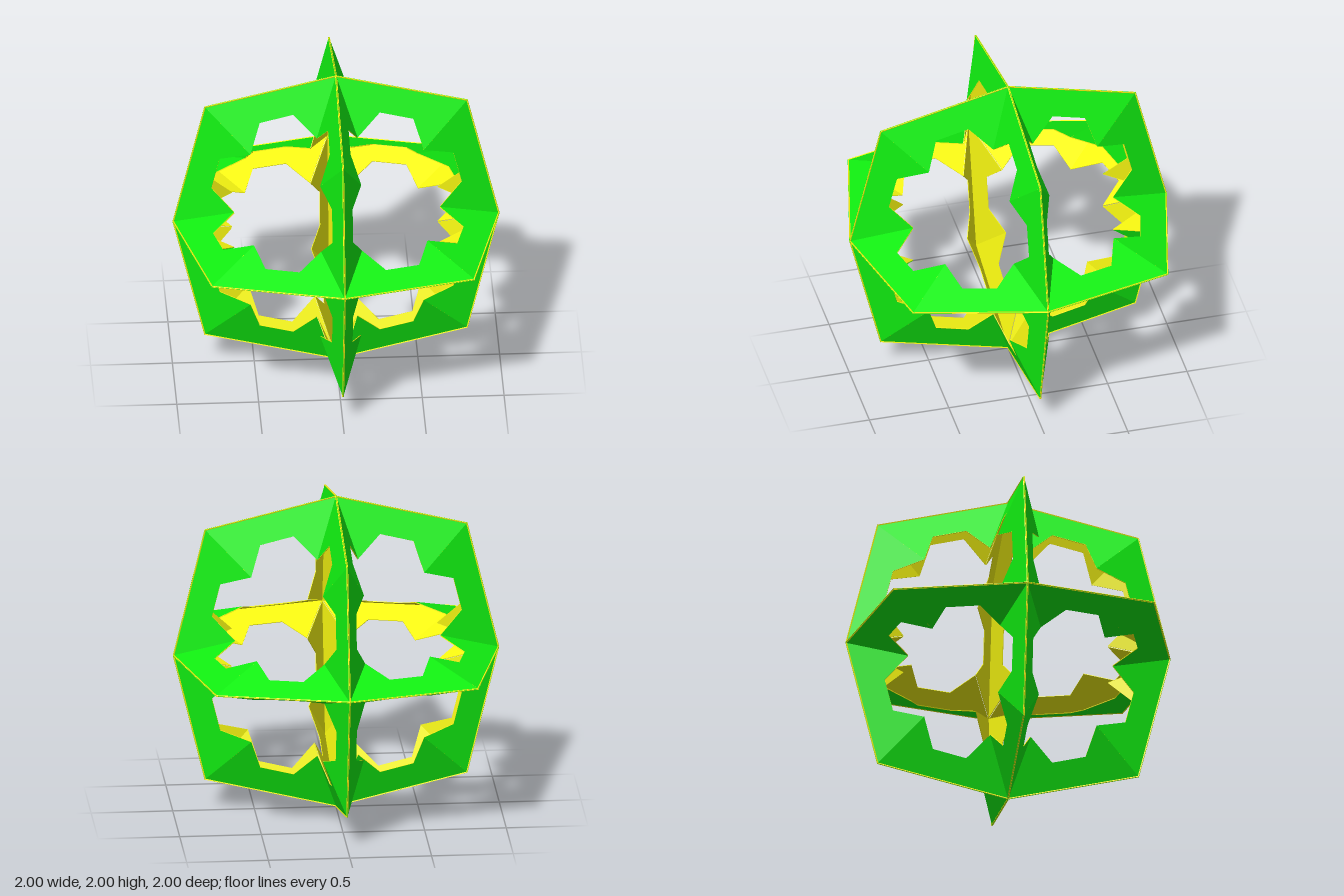
import * as THREE from 'three';
import { mergeGeometries } from 'three/addons/utils/BufferGeometryUtils.js';

// One folded strip: ridge tip, ridge end, then the notched inner border
const STRIP = [
  [0, 0, 1], [0, 0.805, 0.805],
  [0.125, 0.53, 0.53], [0.068, 0.47, 0.717], [0.068, 0.265, 0.768], [0.125, 0.125, 0.63],
];
const ORDERS = [[0, 1, 2], [1, 2, 0], [2, 0, 1], [0, 2, 1], [2, 1, 0], [1, 0, 2]];

// Flat strip for one axis order and one octant: outer skin and thin backing
function makeStrip(order, signs) {
  const pts = STRIP.map(p => new THREE.Vector3(...order.map((o, i) => p[o] * signs[i])));
  const [a, b] = pts;
  const u = b.clone().sub(a).normalize();
  const n = u.clone().cross(pts[5].clone().sub(a)).normalize();
  if (n.dot(new THREE.Vector3(...signs)) < 0) n.negate(); // face out of the octant
  const v = n.clone().cross(u);
  const frame = new THREE.Matrix4().makeBasis(u, v, n).setPosition(a);

  const shape = new THREE.Shape(pts.map(p => {
    const d = p.clone().sub(a);
    return new THREE.Vector2(d.dot(u), d.dot(v));
  }));
  const outer = new THREE.ShapeGeometry(shape).applyMatrix4(frame);
  const inner = new THREE.ExtrudeGeometry(shape, { depth: 0.004, bevelEnabled: false })
    .translate(0, 0, -0.006).applyMatrix4(frame);
  return { outer, inner };
}

export function createModel() {
  const model = new THREE.Group();
  model.name = 'foldedPaperStar';
  const green = new THREE.MeshStandardMaterial({ color: 0x11f011 });
  const yellow = new THREE.MeshStandardMaterial({ color: 0xf8f811 });

  // Eight six-sided funnel rings, one per octant
  for (const x of [1, -1]) for (const y of [1, -1]) for (const z of [1, -1]) {
    const strips = ORDERS.map(order => makeStrip(order, [x, y, z]));
    const ring = new THREE.Group();
    ring.name = [y > 0 ? 'upper' : 'lower', z > 0 ? 'Front' : 'Back', x > 0 ? 'Left' : 'Right', 'Ring'].join('');

    const outside = new THREE.Mesh(mergeGeometries(strips.map(s => s.outer)), green);
    outside.name = 'ringOutside';
    const inside = new THREE.Mesh(mergeGeometries(strips.map(s => s.inner)), yellow);
    inside.name = 'ringInside';
    ring.add(outside, inside);
    model.add(ring);
  }
  model.position.y = 1;

  const root = new THREE.Group();
  root.name = 'model';
  root.add(model);
  return root;
}
